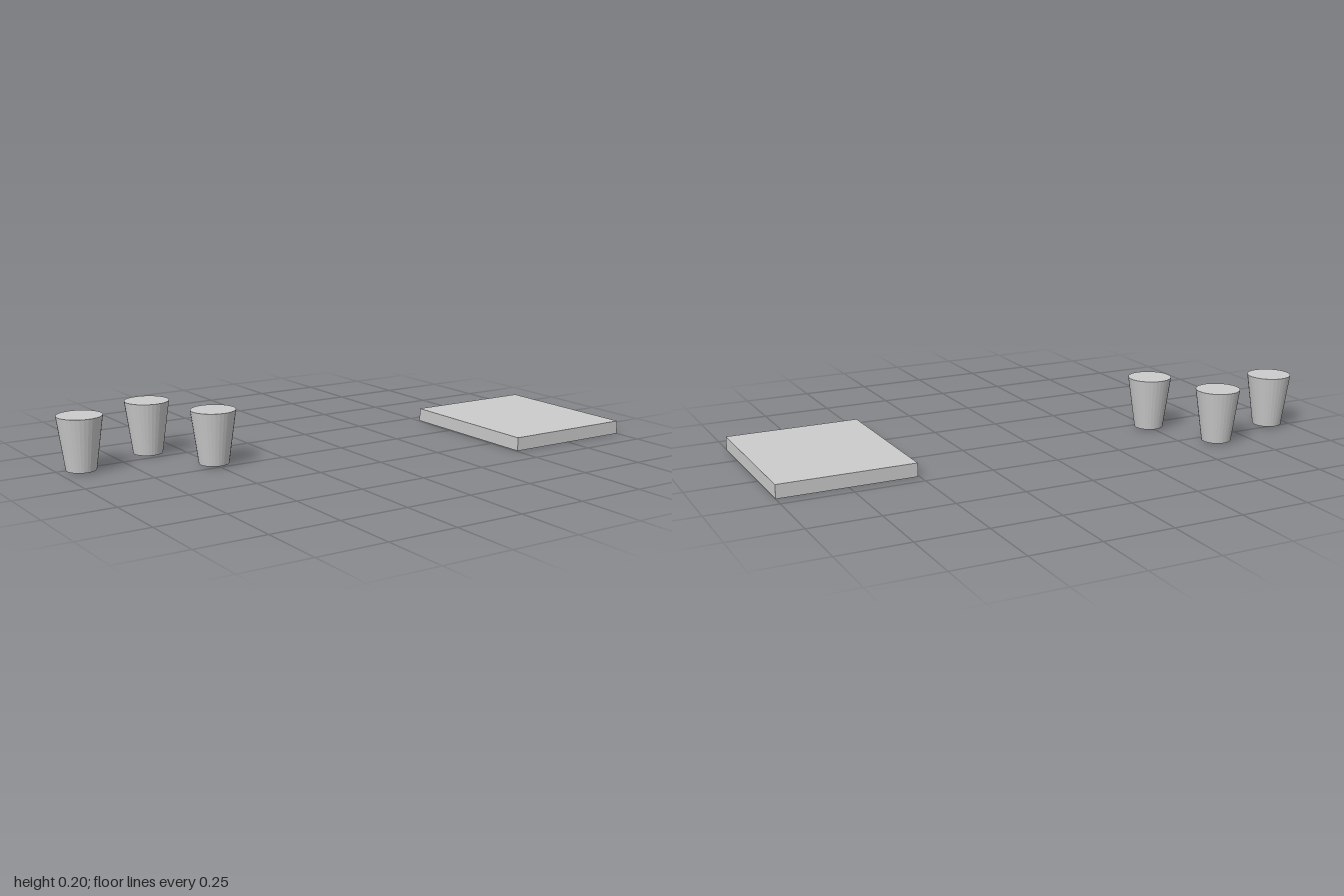
import * as THREE from 'three';

export function createModel() {
  const model = new THREE.Group();
  const material = new THREE.MeshStandardMaterial({ color: 0xcccccc, flatShading: true });

  const add = (name, geometry, x, y, z) => {
    const mesh = new THREE.Mesh(geometry, material);
    mesh.name = name;
    mesh.position.set(x, y, z);
    model.add(mesh);
  };

  // Flat slab resting on the ground
  add('slab', new THREE.BoxGeometry(0.494, 0.049, 0.591), 0.753, 0.0245, 0.0965);

  // Three closed tapered cups, wider at the top
  const cup = new THREE.CylinderGeometry(0.08, 0.053, 0.191, 32);
  const cups = [
    ['cupRight', -0.92, -0.219],
    ['cupBack', -0.625, -0.311],
    ['cupFront', -0.499, -0.048],
  ];
  for (const [name, x, z] of cups) add(name, cup, x, 0.1005, z);

  return model;
}
